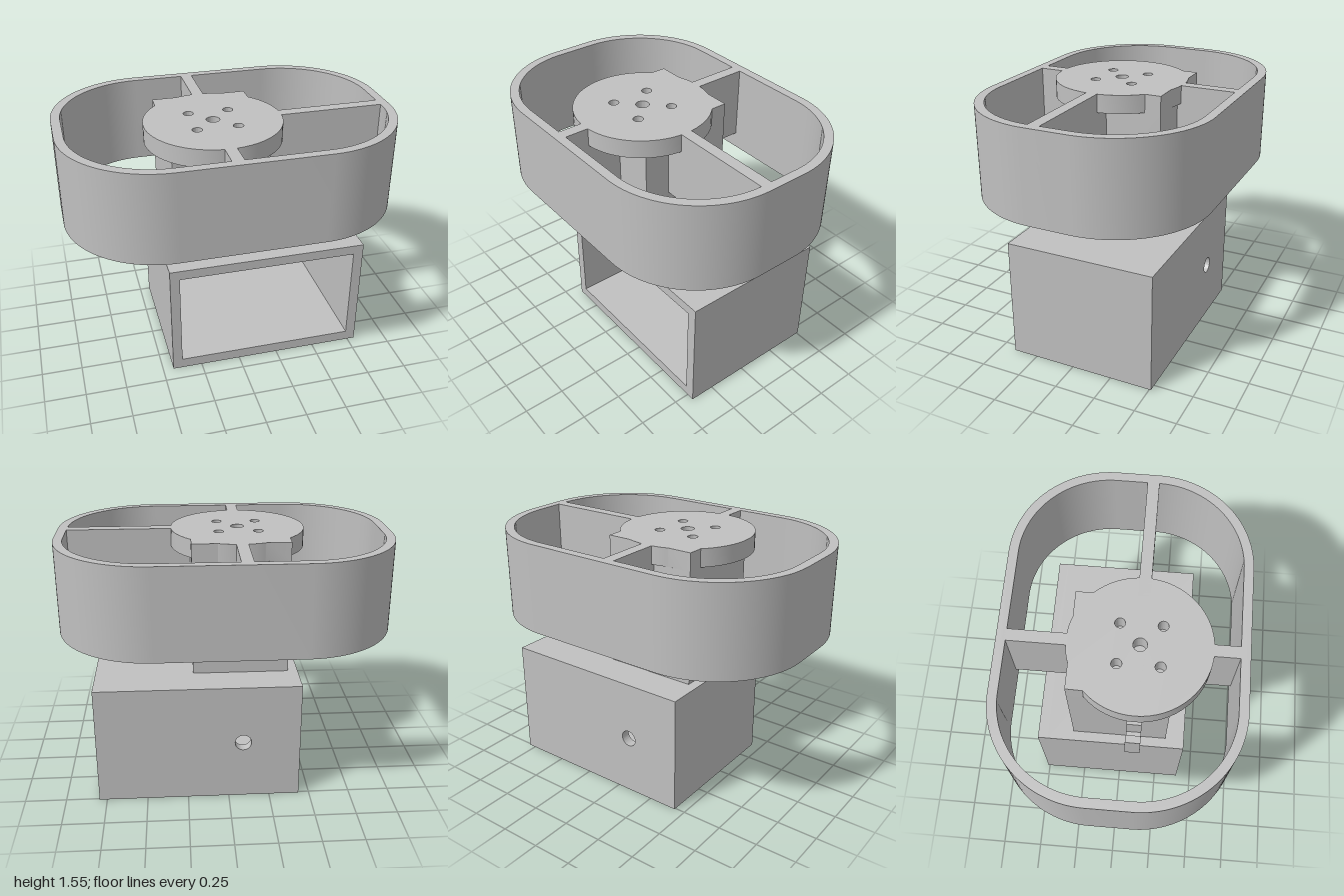
import * as THREE from 'three';
import { toCreasedNormals } from 'three/addons/utils/BufferGeometryUtils.js';

const grey = new THREE.MeshStandardMaterial({ color: 0xc0c0c0 });
grey.name = 'plainGrey';

export function createModel() {
  const model = new THREE.Group();
  model.name = 'drumOnHousing';

  const add = (name, geometry) => {
    const mesh = new THREE.Mesh(geometry, grey);
    mesh.name = name;
    model.add(mesh);
    return mesh;
  };
  // Box given by its limits on each axis
  const block = (name, x0, x1, y0, y1, z0, z1) =>
    add(name, new THREE.BoxGeometry(x1 - x0, y1 - y0, z1 - z0))
      .position.set((x0 + x1) / 2, (y0 + y1) / 2, (z0 + z1) / 2);
  const extrude = (shape, depth) => toCreasedNormals(
    new THREE.ExtrudeGeometry(shape, { depth, bevelEnabled: false, curveSegments: 24 }), 0.6);
  // Plan outline (x, -z) raised from y0 to y1
  const raise = (name, shape, y0, y1) =>
    add(name, extrude(shape, y1 - y0).rotateX(-Math.PI / 2).translate(0, y0, 0));
  const circle = (x, y, r) => new THREE.Path().absarc(x, y, r, 0, Math.PI * 2, true);
  const rectangle = (path, x0, x1, y0, y1) =>
    path.moveTo(x0, y0).lineTo(x1, y0).lineTo(x1, y1).lineTo(x0, y1).closePath();
  const roundedRect = (path, w, h, r) => {
    const a = w - r, b = h - r, q = Math.PI / 2;
    path.moveTo(w, -b);
    path.absarc(a, b, r, 0, q, false);
    path.absarc(-a, b, r, q, 2 * q, false);
    path.absarc(-a, -b, r, 2 * q, 3 * q, false);
    path.absarc(a, -b, r, 3 * q, 4 * q, false);
    return path;
  };

  // Housing: four walls open at the front, and a drilled back wall
  const walls = rectangle(new THREE.Shape(), -0.435, 0.797, 0, 0.74);
  walls.holes.push(rectangle(new THREE.Path(), -0.375, 0.735, 0.065, 0.68));
  add('housingWalls', extrude(walls, 0.855).translate(0, 0, -0.45));
  const back = rectangle(new THREE.Shape(), -0.435, 0.797, 0, 0.74);
  back.holes.push(circle(-0.088, 0.372, 0.05));
  add('housingBack', extrude(back, 0.06).translate(0, 0, -0.51));

  // Square post between the housing and the disc
  block('post', -0.375, 0.203, 0.74, 1.44, -0.29, 0.29);

  // Disc merged with the two rear post corners, drilled with five holes
  const cx = -0.088, cy = -0.093, r = 0.407;
  const angle = (x, y) => Math.atan2(y - cy, x - cx);
  const plate = new THREE.Shape();
  plate.moveTo(0.203, 0.29);
  plate.lineTo(0.05, 0.29);
  plate.absarc(cx, cy, r, angle(0.05, 0.29), angle(-0.226, 0.29), false);
  plate.lineTo(-0.375, 0.29);
  plate.absarc(cx, cy, r, angle(-0.375, 0.191), angle(0.203, 0.191) + Math.PI * 2, false);
  plate.closePath();
  plate.holes.push(circle(cx, cy, 0.04));
  for (const sx of [-1, 1]) {
    for (const sy of [-1, 1]) plate.holes.push(circle(cx + sx * 0.12, cy + sy * 0.12, 0.03));
  }
  raise('disc', plate, 1.44, 1.55);

  // Rounded outer ring
  const ring = roundedRect(new THREE.Shape(), 1, 0.697, 0.575);
  ring.holes.push(roundedRect(new THREE.Path(), 0.945, 0.642, 0.52));
  raise('ring', ring, 1, 1.55);

  // Spokes from the post to the ring
  block('backSpoke', -0.123, -0.053, 1.1, 1.55, -0.65, -0.29);
  block('frontSpoke', -0.123, -0.053, 1.1, 1.55, 0.29, 0.65);
  block('leftSpoke', 0.203, 0.95, 1.1, 1.55, 0.058, 0.128);

  // Small upturned hook on the side of the post
  const hook = new THREE.Shape();
  [[-0.375, 0.88], [-0.375, 1.1], [-0.41, 1.1], [-0.41, 0.95], [-0.475, 0.95],
    [-0.475, 1.1], [-0.52, 1.1], [-0.52, 0.88]]
    .forEach(([x, y], i) => (i ? hook.lineTo(x, y) : hook.moveTo(x, y)));
  hook.closePath();
  add('hook', extrude(hook, 0.09).translate(0, 0, 0.045));

  return model;
}
